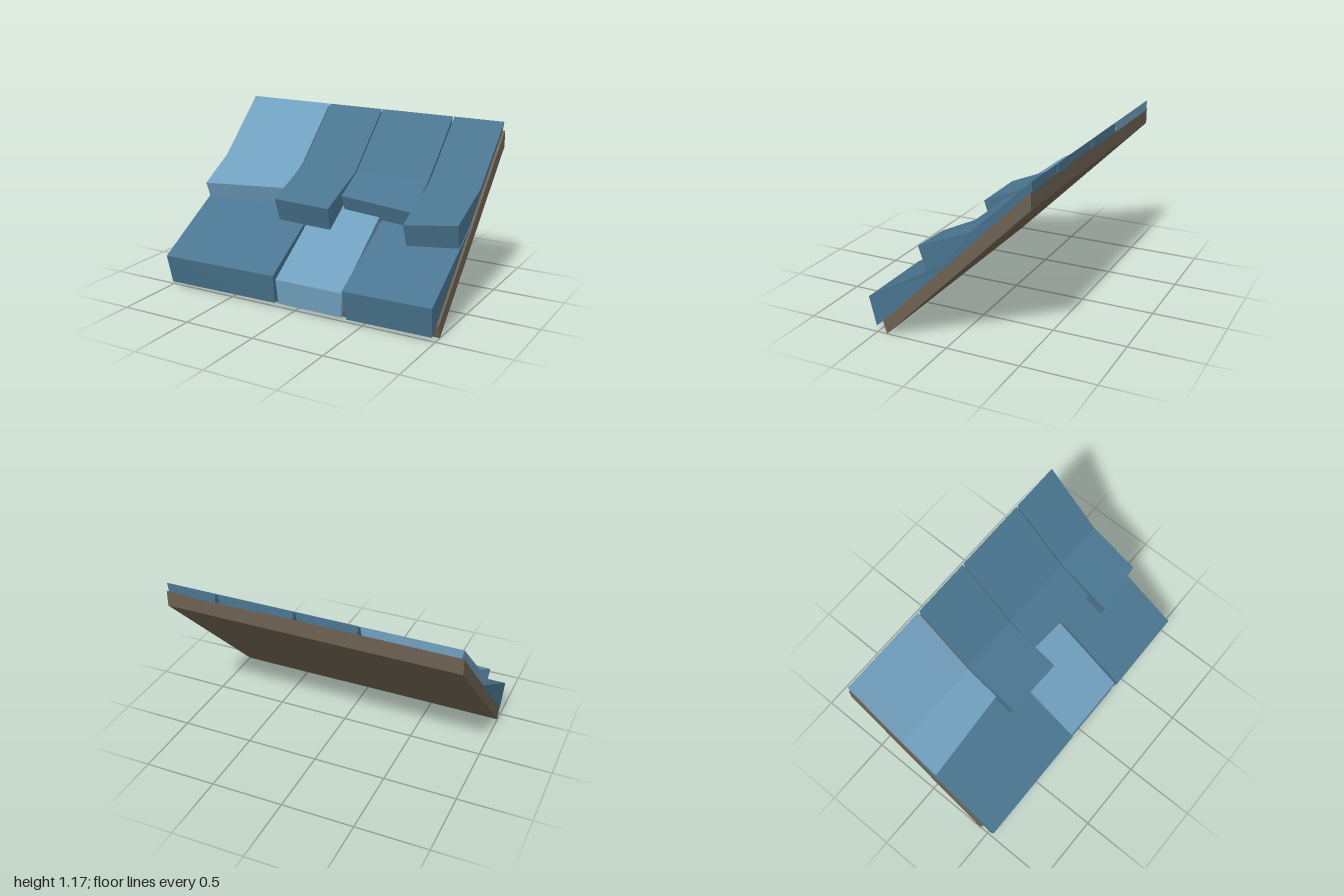
import * as THREE from 'three';

// Solid lofted between a left and a right cross-section, each a list of [x, y, z].
// Sections run back top -> front -> back bottom; caps fan out from point 1.
function loft(left, right) {
  const pos = [];
  const tri = (a, b, c) => pos.push(...a, ...b, ...c);
  const n = left.length;
  for (let i = 0; i < n; i++) {
    const j = (i + 1) % n;
    tri(left[i], left[j], right[j]);
    tri(left[i], right[j], right[i]);
  }
  for (let k = 1; k < n - 1; k++) {
    const a = (1 + k) % n, b = (2 + k) % n;
    tri(left[1], left[b], left[a]);
    tri(right[1], right[a], right[b]);
  }
  const geometry = new THREE.BufferGeometry();
  geometry.setAttribute('position', new THREE.Float32BufferAttribute(pos, 3));
  geometry.computeVertexNormals();
  return geometry;
}

// Upper tile section: bent top, leaning front, underside lying on the board
function upperSection(x, inset, y, z) {
  const drop = (y + z - 0.535) / 1.3;
  return [
    [x, 1.17, -0.57], [x, 0.8, -0.18], [x, y, z],
    [x + inset, y - drop, z - 0.3 * drop], [x + inset, 1.1, -0.57],
  ];
}

// Lower tile section: wedge tucked under the upper row
function lowerSection(x, inset, y, z, slope, yBottom, zBottom) {
  const zBack = -0.05;
  return [
    [x + inset / 2, y + slope * (z - zBack), zBack], [x, y, z],
    [x + inset, yBottom, zBottom], [x + inset, 0.555, zBack],
  ];
}

export function createModel() {
  const model = new THREE.Group();
  const slate = new THREE.MeshStandardMaterial({ color: 0x4a7590, name: 'slateBlue' });
  const pale = new THREE.MeshStandardMaterial({ color: 0x709fbe, name: 'paleBlue' });
  const wood = new THREE.MeshStandardMaterial({ color: 0x6c6152, name: 'woodBrown' });

  const add = (name, geometry, material) => {
    const mesh = new THREE.Mesh(geometry, material);
    mesh.name = name;
    model.add(mesh);
  };

  // Sloping board under the tiles
  const board = (x) => [[x, 1.11, -0.57], [x, 0.085, 0.455], [x, 0, 0.43], [x, 1, -0.57]];
  add('roofBoard', loft(board(-1), board(1)), wood);

  // Upper row: x, y, z of each front top corner
  const inset = 0.012;
  [
    [[-0.996, 0.64, 0.09], [-0.349, 0.68, 0.055], pale],
    [[-0.341, 0.64, 0.198], [0.08, 0.63, 0.207], slate],
    [[0.088, 0.68, 0.035], [0.624, 0.65, 0.066], slate],
    [[0.633, 0.61, 0.217], [0.992, 0.65, 0.18], slate],
  ].forEach(([l, r, material], i) => {
    add(`upperTile${i + 1}`, loft(
      upperSection(l[0], inset, l[1], l[2]),
      upperSection(r[0], -inset, r[1], r[2])), material);
  });

  // Lower row: x, y, z, top slope, bottom y and z of each front edge
  [
    [[-1, 0.228, 0.566, 0.6, 0.027, 0.525], [-0.131, 0.236, 0.56, 0.6, 0.033, 0.52], slate],
    [[-0.123, 0.207, 0.54, 0.7, 0.038, 0.528], [0.374, 0.207, 0.54, 0.7, 0.038, 0.528], pale],
    [[0.382, 0.231, 0.56, 0.59, 0.028, 0.52], [0.996, 0.236, 0.555, 0.59, 0.032, 0.515], slate],
  ].forEach(([l, r, material], i) => {
    add(`lowerTile${i + 1}`, loft(
      lowerSection(l[0], inset, ...l.slice(1)),
      lowerSection(r[0], -inset, ...r.slice(1))), material);
  });

  return model;
}
